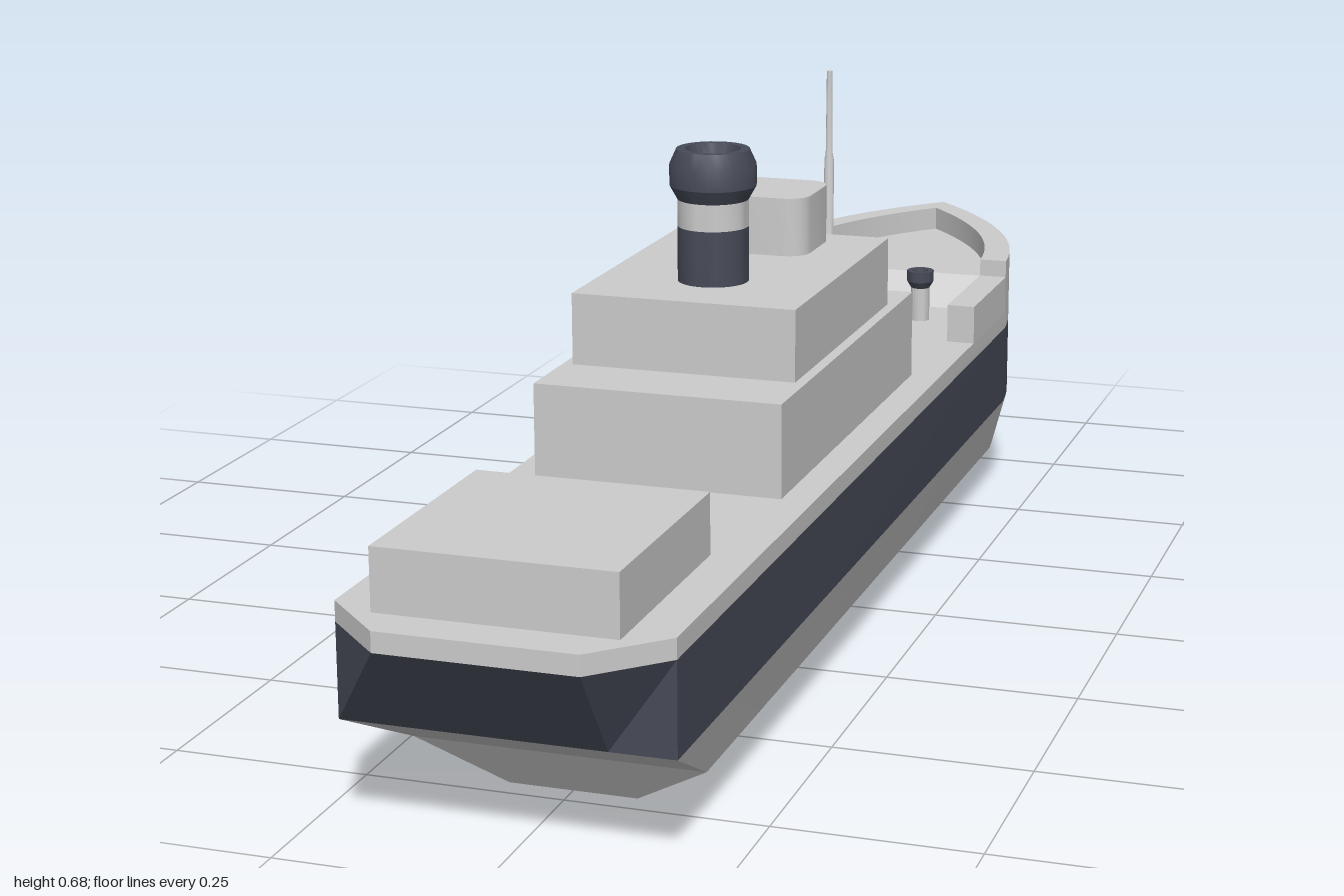
import * as THREE from 'three';
import { toCreasedNormals } from 'three/addons/utils/BufferGeometryUtils.js';

const grey = new THREE.MeshStandardMaterial({ color: 0xcccccc });
const dark = new THREE.MeshStandardMaterial({ color: 0x474b58 });

// Curved half of the bow, from the shoulder (w, z0) to the tip, as [x, z]
function bowCurve(w, z0, tip) {
  const curve = new THREE.QuadraticBezierCurve(
    new THREE.Vector2(w, z0),
    new THREE.Vector2(w * 0.9, z0 + 0.55 * (tip - z0)),
    new THREE.Vector2(0, tip));
  return curve.getPoints(14).map(p => [p.x, p.y]);
}

const mirror = pts => pts.map(([x, z]) => [-x, z]).reverse();

// One closed waterline, running stern, left side, bow, right side
function waterline({ y, sternX, sternZ, w, sideZ, tip }) {
  const half = [[sternX, sternZ], [w, sideZ], ...bowCurve(w, -0.6, tip)];
  return [...half, ...mirror(half).slice(1)].map(([x, z]) => [x, y, z]);
}

// Skin between successive waterlines, with optional end caps
function loft(rings, capBottom, capTop) {
  const pos = [];
  const tri = (...pts) => pts.forEach(p => pos.push(...p));
  for (let r = 0; r + 1 < rings.length; r++) {
    const a = rings[r], b = rings[r + 1];
    a.forEach((p, i) => {
      const j = (i + 1) % a.length;
      tri(p, a[j], b[j]);
      tri(p, b[j], b[i]);
    });
  }
  const fan = (ring, flip) => {
    for (let i = 1; i + 1 < ring.length; i++) {
      if (flip) tri(ring[0], ring[i + 1], ring[i]);
      else tri(ring[0], ring[i], ring[i + 1]);
    }
  };
  if (capBottom) fan(rings[0], true);
  if (capTop) fan(rings[rings.length - 1], false);
  const geo = new THREE.BufferGeometry();
  geo.setAttribute('position', new THREE.Float32BufferAttribute(pos, 3));
  return toCreasedNormals(geo, 0.3);
}

// Upright prism from a plan outline of [x, z] points
function prism(points, y0, y1) {
  const shape = new THREE.Shape(points.map(([x, z]) => new THREE.Vector2(x, -z)));
  const geo = new THREE.ExtrudeGeometry(shape, { depth: y1 - y0, bevelEnabled: false });
  geo.rotateX(-Math.PI / 2).translate(0, y0, 0);
  return toCreasedNormals(geo, 0.3);
}

function block(x0, x1, y0, y1, z0, z1) {
  return new THREE.BoxGeometry(x1 - x0, y1 - y0, z1 - z0)
    .translate((x0 + x1) / 2, (y0 + y1) / 2, (z0 + z1) / 2);
}

// Turned part from [radius, y] points
function turned(profile, x, z, segments = 32) {
  const geo = new THREE.LatheGeometry(profile.map(p => new THREE.Vector2(...p)), segments);
  return toCreasedNormals(geo, 0.5).translate(x, 0, z);
}

export function createModel() {
  const ship = new THREE.Group();
  ship.name = 'ship';
  const add = (name, geo, mat = grey) => {
    const mesh = new THREE.Mesh(geo, mat);
    mesh.name = name;
    ship.add(mesh);
  };

  // Hull, in three bands
  const keel = waterline({ y: 0, sternX: 0.08, sternZ: 0.72, w: 0.08, sideZ: 0.72, tip: -0.8 });
  const bilge = waterline({ y: 0.063, sternX: 0.18, sternZ: 0.765, w: 0.18, sideZ: 0.765, tip: -0.92 });
  const chine = waterline({ y: 0.14, sternX: 0.12, sternZ: 0.92, w: 0.2, sideZ: 0.92, tip: -1 });
  const upper = y => waterline({ y, sternX: 0.12, sternZ: 1, w: 0.2, sideZ: 0.92, tip: -1 });
  add('lowerHull', loft([keel, bilge, chine], true, false));
  add('hullStripe', loft([chine, upper(0.255)], false, false), dark);
  add('deck', loft([upper(0.255), upper(0.28)], false, true));

  // Bulwarks: a low rail each side and the tall bow wall
  const outer = bowCurve(0.2, -0.6, -1);
  const inner = bowCurve(0.16, -0.6, -0.95);
  const fullCurve = half => [...half, ...mirror(half).slice(1)];
  add('bowBulwark', prism([...fullCurve(outer), ...fullCurve(inner).reverse()], 0.28, 0.36));
  for (const [side, x] of [['left', 0.18], ['right', -0.18]]) {
    add(side + 'Bulwark', block(x - 0.02, x + 0.02, 0.28, 0.335, -0.6, -0.4));
  }

  // Raised bow deck with a sloping face toward the stern
  const bowDeck = fullCurve(inner).filter(p => p[1] < -0.64);
  add('bowDeck', prism([[0.159, -0.64], ...bowDeck, [-0.159, -0.64]], 0.28, 0.325));
  const wedge = new THREE.Shape([[0.6, 0.28], [0.64, 0.28], [0.64, 0.325]]
    .map(p => new THREE.Vector2(...p)));
  add('bowRamp', new THREE.ExtrudeGeometry(wedge, { depth: 0.32, bevelEnabled: false })
    .rotateY(Math.PI / 2).translate(-0.16, 0, 0));

  // Deckhouses and stern hatch
  add('lowerDeckhouse', block(-0.164, 0.159, 0.28, 0.4, -0.2, 0.415));
  add('upperDeckhouse', block(-0.151, 0.145, 0.4, 0.493, -0.12, 0.313));
  add('sternHatch', block(-0.145, 0.145, 0.28, 0.356, 0.645, 0.945));

  // Wheelhouse with rounded corners
  const wheelhouse = [];
  const r = 0.03;
  [[0.04, 0], [-0.037, 0], [-0.037, -0.07], [0.04, -0.07]].forEach(([cx, cz], corner) => {
    for (let i = 0; i <= 6; i++) {
      const a = (corner + i / 6) * Math.PI / 2;
      wheelhouse.push([cx + r * Math.cos(a), cz + r * Math.sin(a)]);
    }
  });
  add('wheelhouse', prism(wheelhouse, 0.493, 0.571));

  // Funnel
  const fx = -0.004, fz = 0.187;
  add('funnelBase', turned([[0.046, 0.493], [0.046, 0.565]], fx, fz), dark);
  add('funnelBand', turned([[0.046, 0.565], [0.046, 0.6]], fx, fz));
  add('funnelCap', turned([[0.046, 0.6], [0.056, 0.618], [0.056, 0.645], [0.047, 0.665],
    [0.036, 0.665], [0.03, 0.645], [0, 0.645]], fx, fz), dark);

  // Mast
  add('mast', turned([[0.04, 0.28], [0.036, 0.29], [0.022, 0.315], [0.012, 0.4], [0.007, 0.42],
    [0.007, 0.55], [0.005, 0.56], [0.004, 0.68], [0, 0.682]], -0.008, -0.352, 20));

  // Ventilators on the foredeck
  for (const x of [-0.113, 0.087]) {
    add('ventilatorStem', turned([[0.014, 0.28], [0.014, 0.335]], x, -0.52, 20));
    add('ventilatorCap', turned([[0.014, 0.33], [0.02, 0.34], [0.02, 0.356],
      [0.012, 0.356], [0.011, 0.347]], x, -0.52, 20), dark);
    add('ventilatorMouth', turned([[0.012, 0.348], [0, 0.348]], x, -0.52, 20));
  }
  return ship;
}
